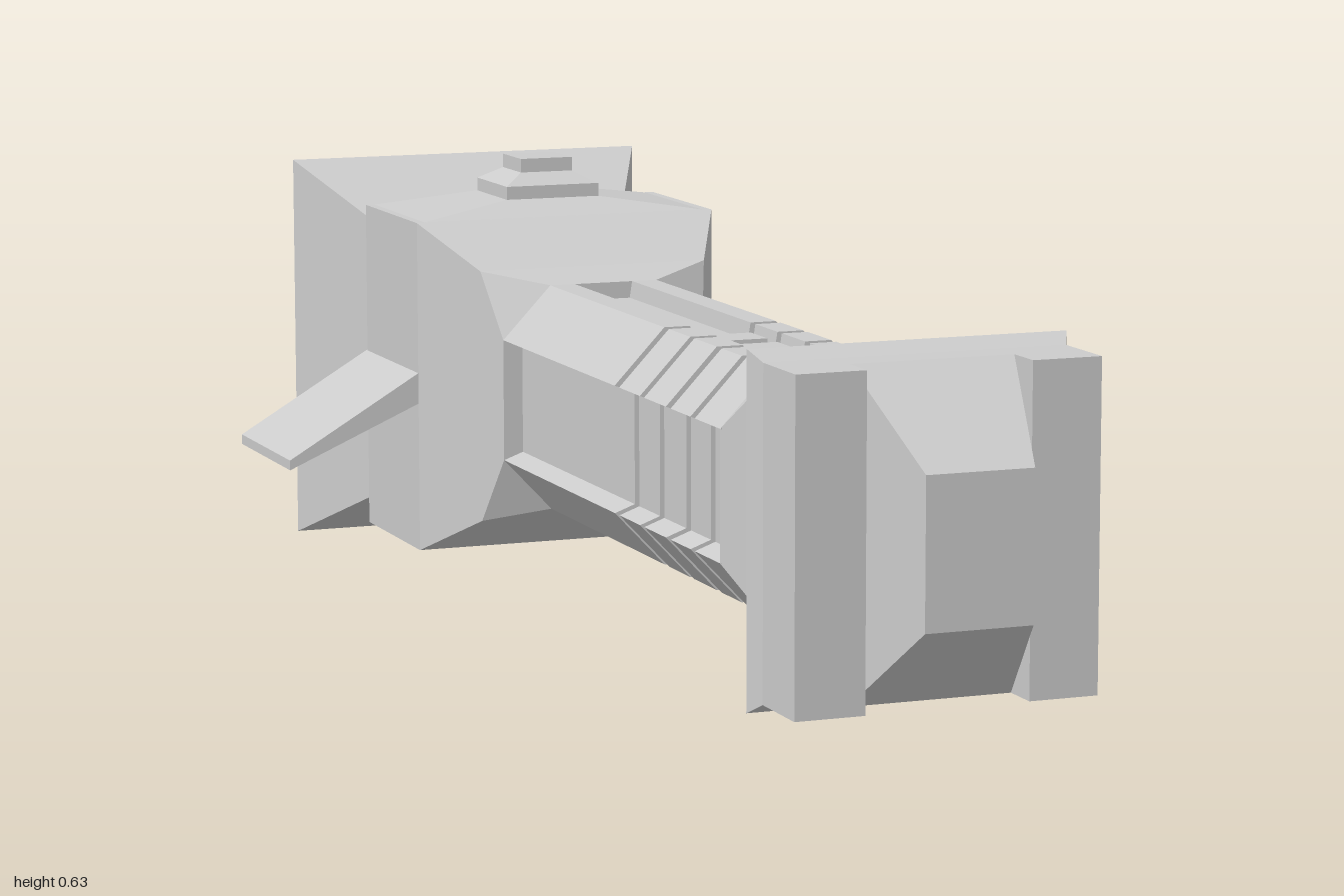
import * as THREE from 'three';

const material = new THREE.MeshStandardMaterial({ color: 0xcccccc, flatShading: true });

// Eight-point section: half sizes hx, hy; half lengths of the flats fx, fy (equal to hx, hy = rectangle)
function section(z, hx, hy, fx = hx, fy = hy) {
  return [[hx, -fy], [hx, fy], [fx, hy], [-fx, hy], [-hx, fy], [-hx, -fy], [-fx, -hy], [fx, -hy]]
    .map(([x, y]) => new THREE.Vector3(x, y, z));
}

// Skin consecutive sections (ordered from low z to high z) and cap both ends
function loft(sections) {
  const pos = [];
  const tri = (a, b, c) => {
    const area = b.clone().sub(a).cross(c.clone().sub(a)).length();
    if (area > 1e-8) pos.push(...a.toArray(), ...b.toArray(), ...c.toArray());
  };
  for (let s = 0; s < sections.length - 1; s++) {
    const a = sections[s], b = sections[s + 1];
    for (let i = 0; i < 8; i++) {
      const j = (i + 1) % 8;
      tri(a[i], a[j], b[j]);
      tri(a[i], b[j], b[i]);
    }
  }
  const first = sections[0], last = sections[sections.length - 1];
  for (let i = 1; i < 7; i++) {
    tri(first[0], first[i + 1], first[i]);
    tri(last[0], last[i], last[i + 1]);
  }
  const g = new THREE.BufferGeometry();
  g.setAttribute('position', new THREE.Float32BufferAttribute(pos, 3));
  g.computeVertexNormals();
  return g;
}

// Extrude an outline between two z positions
function prism(points, z0, z1) {
  const shape = new THREE.Shape(points.map(([x, y]) => new THREE.Vector2(x, y)));
  return new THREE.ExtrudeGeometry(shape, { depth: z1 - z0, bevelEnabled: false }).translate(0, 0, z0);
}

// Octagonal grip outline with a channel sunk into each of the four main flats
function gripOutline() {
  const quarter = [[0.13, 0.08], [0.16, 0.091], [0.085, 0.17], [0.046, 0.17], [0.042, 0.145]];
  const flip = (sx, sy, pts) => pts.map(([x, y]) => [x * sx, y * sy]);
  const back = [...quarter].reverse();
  return [...quarter, ...flip(-1, 1, back), ...flip(-1, -1, quarter), ...flip(1, -1, back)];
}

export function createModel() {
  const model = new THREE.Group();
  const body = new THREE.Group();
  body.name = 'body';
  body.position.set(-0.025, 0.307, 0);
  model.add(body);
  const add = (name, geometry) => {
    const mesh = new THREE.Mesh(geometry, material);
    mesh.name = name;
    body.add(mesh);
    return mesh;
  };

  // Rear flare with a dished end
  add('rearFlare', loft([
    section(-0.95, 0.24, 0.25), section(-1, 0.29, 0.302),
    section(-0.84, 0.2125, 0.222), section(-0.8, 0.2125, 0.222),
  ]));

  // Head block, blending from square to octagon
  add('head', loft([
    section(-0.805, 0.2125, 0.222), section(-0.775, 0.24, 0.252), section(-0.52, 0.24, 0.252),
    section(-0.4, 0.18, 0.19), section(-0.355, 0.16, 0.17, 0.085, 0.091),
  ]));

  // Low roof and stepped button on top of the head
  const button = add('topButton', loft([
    section(0.25, 0.24, 0.129), section(0.274, 0.075, 0.07), section(0.294, 0.075, 0.07),
    section(0.312, 0.042, 0.042), section(0.333, 0.042, 0.042),
  ]).rotateX(-Math.PI / 2));
  button.position.z = -0.649;

  // Channelled grip, inner core and separate grip rings
  const outline = gripOutline();
  add('grip', prism(outline, -0.356, 0.12));
  add('gripCore', loft([section(0.1, 0.105, 0.118, 0.07, 0.07), section(0.53, 0.105, 0.118, 0.07, 0.07)]));
  const rings = [[0.138, 0.22], [0.236, 0.32], [0.338, 0.412], [0.428, 0.522]];
  rings.forEach(([z0, z1], i) => {
    add('gripRing', prism(outline, z0, z1));
    if (i === 3) return;
    for (const side of [1, -1]) {
      const stud = add('ringStud', new THREE.BoxGeometry(0.07, 0.02, z1 - z0 - 0.02));
      stud.position.set(0, side * 0.15, (z0 + z1) / 2);
    }
  });

  // Pommel: octagonal neck widening to a square block
  add('pommel', loft([
    section(0.52, 0.16, 0.17, 0.085, 0.091), section(0.553, 0.13, 0.137),
    section(0.775, 0.225, 0.237), section(0.8, 0.2125, 0.222), section(0.85, 0.2125, 0.222),
  ]));
  add('pommelPlug', loft([section(0.85, 0.115, 0.222), section(1, 0.075, 0.101)]));
  for (const side of [1, -1]) {
    const prong = add('pommelProng', new THREE.BoxGeometry(0.0975, 0.444, 0.107));
    prong.position.set(side * 0.16375, 0, 0.8525);
  }

  // Drooping tapered fins on both sides of the head
  const fin = (name, side, tip) => {
    const pts = [[0.22, 0.034], [0.22, -0.016], [tip, -0.115], [tip, -0.1]].map(([x, y]) => [side * x, y]);
    pts[0][1] = 0.034; // root stays buried in the head
    add(name, prism(pts, -0.78, -0.52));
  };
  fin('leftFin', 1, 0.495);
  fin('rightFin', -1, 0.445);

  return model;
}
